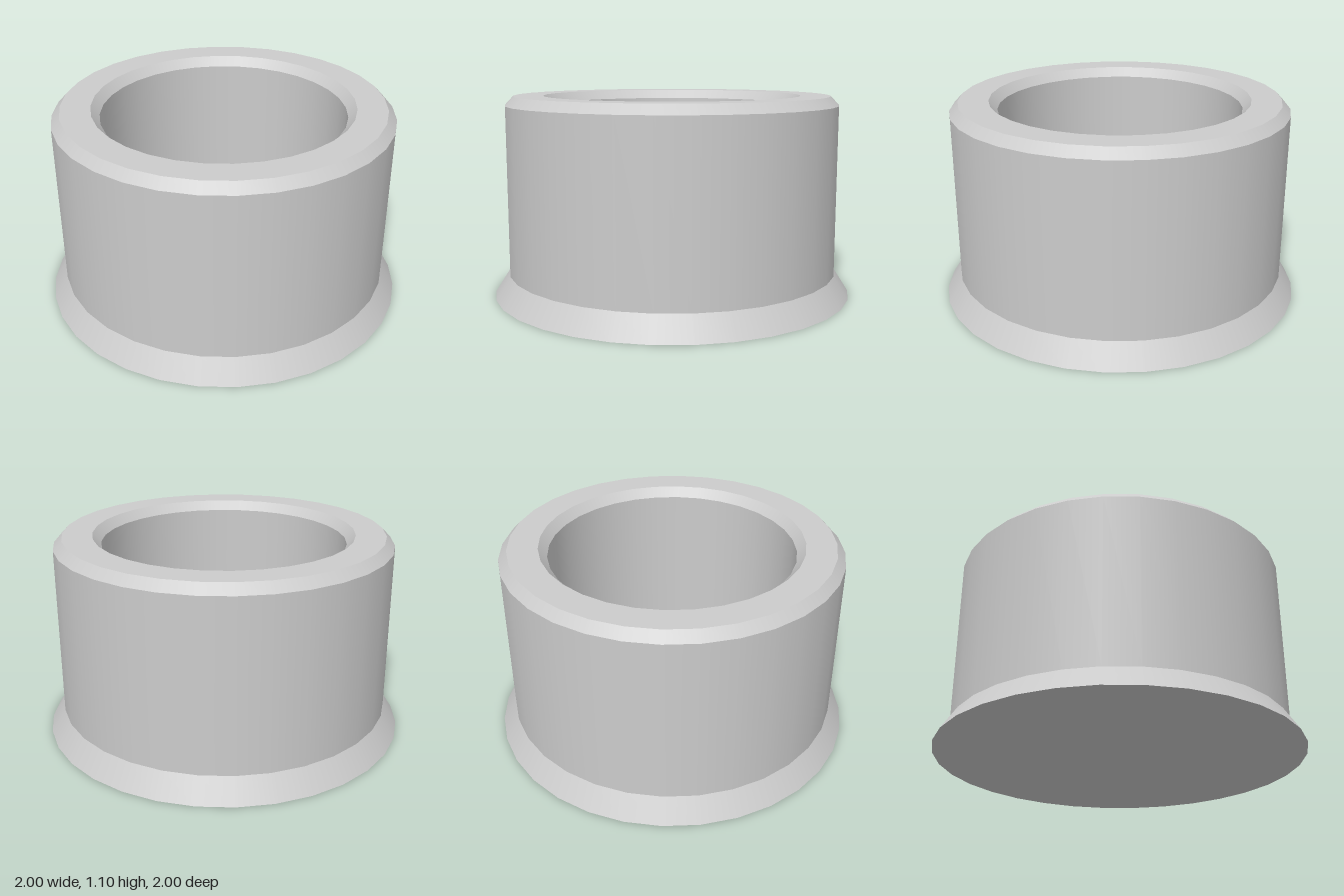
import * as THREE from 'three';

const SIDES = 32;

// Turned band between two profile points; separate bands keep the rims crisp.
function band(name, from, to, material) {
  const points = [from, to].map(([r, y]) => new THREE.Vector2(r, y));
  const mesh = new THREE.Mesh(new THREE.LatheGeometry(points, SIDES), material);
  mesh.name = name;
  return mesh;
}

export function createModel() {
  const group = new THREE.Group();
  group.name = 'flaredCup';
  const material = new THREE.MeshStandardMaterial({ color: 0xcccccc });

  // Profile from the underside centre, up the outside, over the rim, down to the floor.
  const start = [0, 0];
  const profile = [
    ['underside', 1, 0],
    ['flaredFoot', 0.92, 0.125],
    ['outerWall', 0.92, 1.05],
    ['outerRimBevel', 0.873, 1.1],
    ['rim', 0.71, 1.1],
    ['innerRimBevel', 0.665, 1.05],
    ['innerWall', 0.665, 0.17],
    ['floorBevel', 0.62, 0.125],
    ['floor', 0, 0.125],
  ];

  let previous = start;
  for (const [name, r, y] of profile) {
    group.add(band(name, previous, [r, y], material));
    previous = [r, y];
  }
  return group;
}
